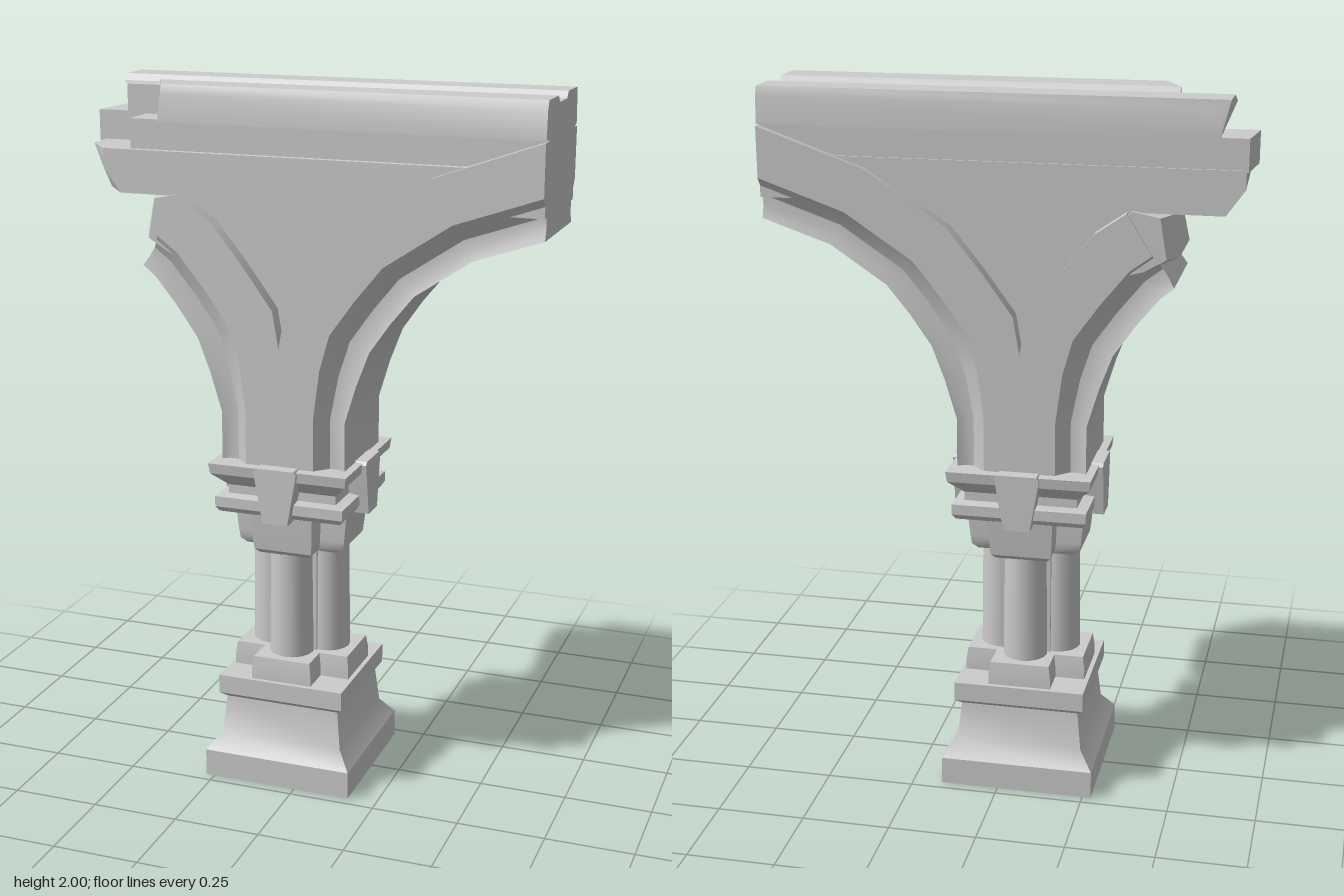
import * as THREE from 'three';
import { toCreasedNormals } from 'three/addons/utils/BufferGeometryUtils.js';

const CX = -0.055;   // column axis
const RIGHT = 0.667; // cut end of the beam
const material = new THREE.MeshStandardMaterial({ color: 0xcccccc });

// Closed solid through matching rings of [x, y, z]; capAxes are the axes dropped when filling each end
function loft(rings, capAxes) {
  const tris = [];
  const n = rings[0].length;
  for (let r = 0; r < rings.length - 1; r++) {
    for (let i = 0; i < n; i++) {
      const j = (i + 1) % n;
      const a = rings[r][i], b = rings[r][j], c = rings[r + 1][j], d = rings[r + 1][i];
      tris.push([a, b, c], [a, c, d]);
    }
  }
  [rings[0], rings[rings.length - 1]].forEach((ring, end) => {
    const [u, v] = [0, 1, 2].filter((k) => k !== capAxes[end]);
    const flat = ring.map((p) => new THREE.Vector2(p[u], p[v]));
    const ccw = !THREE.ShapeUtils.isClockWise(flat);
    const order = ccw ? ring : [...ring].reverse();
    const contour = ccw ? flat : [...flat].reverse();
    for (const f of THREE.ShapeUtils.triangulateShape(contour, [])) {
      const t = f.map((k) => order[k]);
      // the first cap runs against the ring, the last one along it
      if ((end === 0) === ccw) t.reverse();
      tris.push(t);
    }
  });
  // turn the whole solid outward if its signed volume is negative
  let volume = 0;
  for (const [a, b, c] of tris) {
    volume += a[0] * (b[1] * c[2] - b[2] * c[1]) + a[1] * (b[2] * c[0] - b[0] * c[2]) + a[2] * (b[0] * c[1] - b[1] * c[0]);
  }
  if (volume < 0) tris.forEach((t) => t.reverse());
  const geometry = new THREE.BufferGeometry();
  geometry.setAttribute('position', new THREE.Float32BufferAttribute(tris.flat(2), 3));
  geometry.computeVertexNormals();
  return toCreasedNormals(geometry, 0.55);
}

const square = (h, y) => [[-h, y, -h], [h, y, -h], [h, y, h], [-h, y, h]];

// Plus-shaped ring: arms reach h, arm half width w
const cross = (h, w, y) => [
  [w, h], [w, w], [h, w], [h, -w], [w, -w], [w, -h],
  [-w, -h], [-w, -w], [-h, -w], [-h, w], [-w, w], [-w, h],
].map(([x, z]) => [x, y, z]);

// Prism of an x/y outline between two depths
const prism = (outline, z0, z1) =>
  loft([z0, z1].map((z) => outline.map(([x, y]) => [x, y, z])), [2, 2]);

// Run of a z/y profile from a broken left end to the cut right end
const run = (profile, leftEnd) => loft([
  profile.map(([z, y]) => [leftEnd(z, y), y, z]),
  profile.map(([z, y]) => [RIGHT, y, z]),
], [0, 0]);

export function createModel() {
  const model = new THREE.Group();
  const column = new THREE.Group();
  column.name = 'column';
  column.position.x = CX;
  model.add(column);

  const add = (parent, name, geometry) => {
    const mesh = new THREE.Mesh(geometry, material);
    mesh.name = name;
    parent.add(mesh);
    return mesh;
  };

  // Hollow moulded pedestal
  add(column, 'pedestal', loft([
    [0.14, 0.24], [0.155, 0.13], [0.19, 0.08], [0.195, 0], [0.22, 0], [0.22, 0.08],
    [0.182, 0.13], [0.17, 0.24], [0.188, 0.255], [0.188, 0.31], [0.12, 0.31],
  ].map(([h, y]) => square(h, y)), [1, 1]));
  add(column, 'shaftPlinth', loft([cross(0.175, 0.09, 0.3), cross(0.175, 0.09, 0.34), cross(0.17, 0.085, 0.378)], [1, 1]));

  // Clustered shaft of four round lobes round a core
  for (let i = 0; i < 4; i++) {
    const a = i * Math.PI / 2;
    const lobe = add(column, 'shaftLobe', new THREE.CylinderGeometry(0.06, 0.064, 0.34, 16));
    lobe.position.set(Math.cos(a) * 0.082, 0.54, Math.sin(a) * 0.082);
  }
  add(column, 'shaftCore', new THREE.BoxGeometry(0.14, 0.34, 0.14)).position.y = 0.54;

  // Capital: plus-shaped neck, two slabs and a wedge block on each face
  add(column, 'capitalNeck', loft([
    cross(0.14, 0.075, 0.69), cross(0.157, 0.085, 0.705), cross(0.16, 0.088, 0.73), cross(0.168, 0.092, 0.81),
  ], [1, 1]));
  add(column, 'capitalSlabs', loft([
    [0.13, 0.805], [0.18, 0.815], [0.19, 0.83], [0.19, 0.86], [0.16, 0.865],
    [0.16, 0.89], [0.2, 0.93], [0.204, 0.96], [0.17, 0.962],
  ].map(([h, y]) => square(h, y)), [1, 1]));
  for (let i = 0; i < 4; i++) {
    const wedge = add(column, 'capitalWedge',
      prism([[-0.037, 0.805], [0.037, 0.805], [0.063, 0.955], [0.055, 0.965], [-0.055, 0.965], [-0.063, 0.955]], 0.12, 0.216));
    wedge.rotation.y = i * Math.PI / 2;
  }

  // Arch ribs: stations of [inner x, inner y, outer x, outer y] measured from the column axis
  const springing = [
    [0.182, 0.95, 0, 0.95], [0.182, 1.1, 0, 1.13], [0.215, 1.21, 0, 1.3], [0.251, 1.305, 0.018, 1.405],
    [0.31, 1.39, 0.105, 1.525], [0.375, 1.47, 0.198, 1.64],
  ];
  const rightArch = [...springing, [0.531, 1.575, 0.425, 1.79], [0.722, 1.64, 0.722, 1.895]];
  const brokenArch = [...springing, [0.411, 1.5, 0.285, 1.7]];
  // rib section: [fraction from inner to outer curve, half depth]
  const half = [[0, 0.15], [0.12, 0.14], [0.25, 0.14], [0.36, 0.16], [0.45, 0.177], [1, 0.178]];
  const section = [...half, ...half.map(([t, z]) => [t, -z]).reverse()];
  const rib = (stations, side) => loft(stations.map(([ix, iy, ox, oy]) =>
    section.map(([t, z]) => [CX + side * (ix + (ox - ix) * t), iy + (oy - iy) * t, z])), [1, 0]);
  add(model, 'rightArchRib', rib(rightArch, 1));
  add(model, 'brokenArchRib', rib(brokenArch, -1));

  // Broken stone left at the end of the short arch
  add(model, 'brokenStone', loft([[-0.172, 0.8], [-0.12, 1], [0.09, 1], [0.165, 0.75]].map(([z, s]) =>
    [[-0.4, 1.545], [-0.476, 1.58], [-0.452, 1.69], [-0.36, 1.705], [-0.26, 1.64], [-0.33, 1.53]]
      .map(([x, y]) => [-0.33 + (x + 0.33) * s, y, z])), [2, 2]));

  // Recessed wall between the ribs
  const outer = (stations, side) => stations.slice(2).map(([, , x, y]) => [CX + side * x, y]);
  add(model, 'spandrel', prism([
    ...outer(rightArch.slice(0, 7), 1), [-0.36, 1.79], ...outer(brokenArch, -1).reverse().slice(0, -1),
  ], -0.135, 0.135));

  // Lower beam course with a chamfered broken end
  const lowerEnd = (z, y) => -0.645 + (y < 1.75 ? 0.05 : 0) + (z > 0.1 ? 0.07 : 0);
  add(model, 'lowerCourse', run([
    [-0.16, 1.7], [-0.16, 1.77], [-0.16, 1.82], [0.07, 1.82], [0.16, 1.82], [0.16, 1.77], [0.16, 1.7], [0.07, 1.7],
  ], lowerEnd));

  // Recessed middle course, longer at the back
  add(model, 'middleCourseBack', run([[-0.155, 1.815], [-0.155, 1.902], [-0.008, 1.902], [-0.008, 1.815]],
    (z) => (z < -0.1 ? -0.65 : -0.665)));
  add(model, 'middleCourseFront', run([[-0.01, 1.815], [-0.01, 1.902], [0.14, 1.902], [0.14, 1.815]], () => -0.5));

  // Top course in two lengths with a shallow groove along it
  add(model, 'topCourseBack', run([
    [-0.172, 1.9], [-0.168, 1.975], [-0.16, 2], [-0.06, 2], [-0.045, 1.982], [0.035, 1.982], [0.035, 1.9],
  ], (z, y) => (z < -0.165 ? -0.575 : z > 0 ? -0.555 : -0.605) + (y > 1.99 ? 0.005 : 0)));
  add(model, 'topCourseFront', run([
    [0.035, 1.9], [0.035, 1.982], [0.055, 2], [0.157, 2], [0.168, 1.975], [0.172, 1.9],
  ], (z, y) => (z > 0.1 ? -0.405 : -0.455) - (y < 1.95 ? 0 : -0.01)));

  return model;
}
